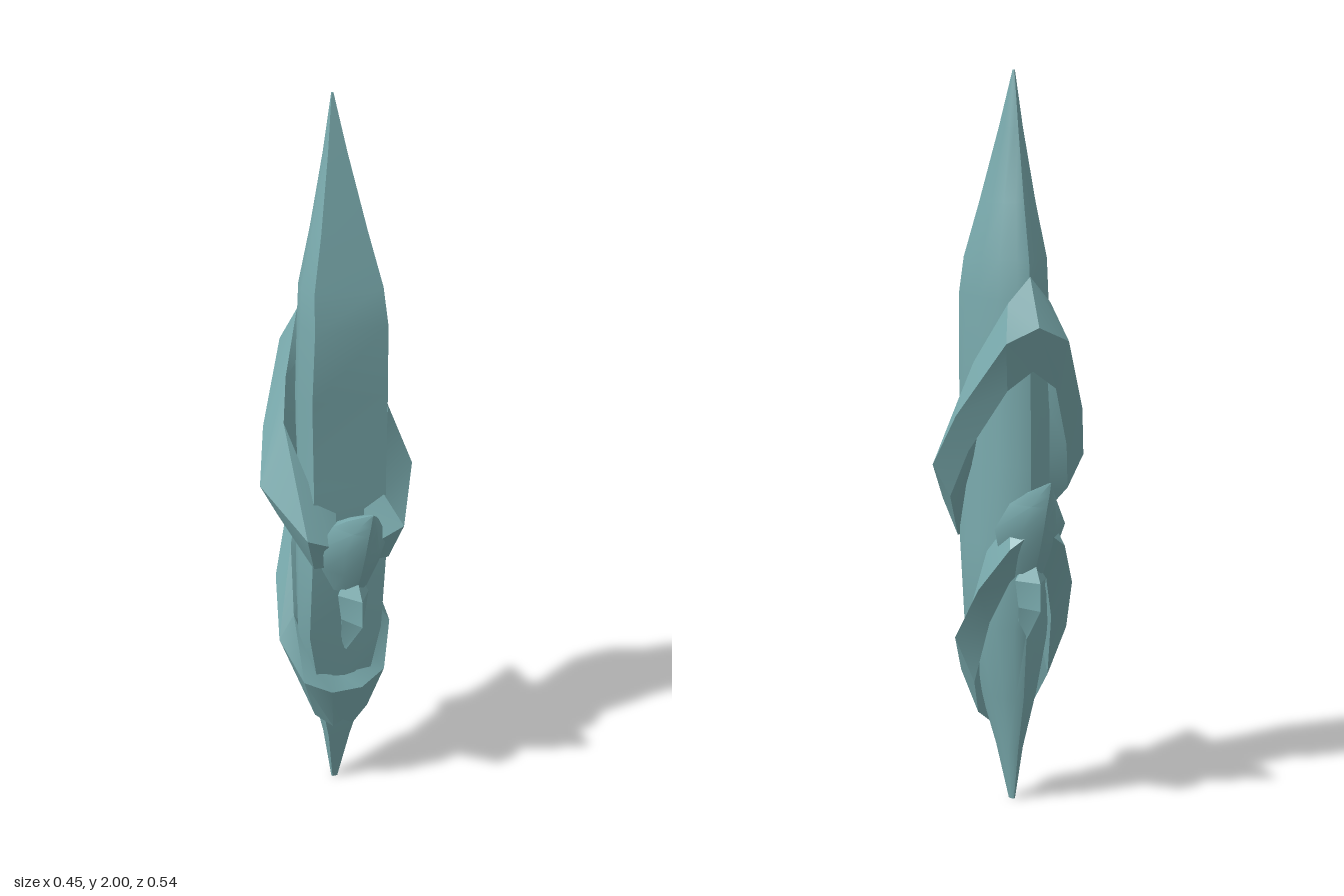
import * as THREE from 'three';
import { toCreasedNormals } from 'three/addons/utils/BufferGeometryUtils.js';

// Skin a list of equal-length closed rings, with end caps
function skin(rings, crease) {
  const n = rings[0].length, index = [], last = (rings.length - 1) * n;
  for (let j = 0; j < rings.length - 1; j++) {
    for (let i = 0; i < n; i++) {
      const a = j * n + i, b = j * n + (i + 1) % n;
      index.push(a, b, b + n, a, b + n, a + n);
    }
  }
  for (let i = 1; i < n - 1; i++) {
    index.push(0, i + 1, i, last, last + i, last + i + 1);
  }
  const geo = new THREE.BufferGeometry();
  geo.setAttribute('position', new THREE.Float32BufferAttribute(rings.flat(2), 3));
  geo.setIndex(index);
  return toCreasedNormals(geo, crease);
}

// Symmetric upright loft: half = [x, depth] from front to back, rows = [y, halfWidth, zFront, zBack]
function loft(half, rows, crease) {
  const mirrored = half.slice(1, -1).reverse().map(([x, t]) => [-x, t]);
  const start = half[0][0] > 0 ? [[-half[0][0], half[0][1]]] : [];
  const outline = [...half, ...mirrored, ...start];
  return skin(rows.map(([y, w, f, b]) => outline.map(([x, t]) => [x * w, y, f + (b - f) * t])), crease);
}

// Mirrored wrap-around band: stations = [x, y, z, rise, drop] of its ridge, from back centre to front
function band(stations, topScale, bottomScale) {
  const other = stations.slice(1).reverse().map(([x, ...rest]) => [-x, ...rest]);
  const rings = [...other, ...stations].map(([x, y, z, up, down]) => [
    [x, y, z],
    [x * topScale, y + up, z * topScale],
    [x * 0.5, y, z * 0.5],
    [x * bottomScale, y - down, z * bottomScale],
  ]);
  return skin(rings, 0.5);
}

export function createModel() {
  const model = new THREE.Group();
  const teal = new THREE.MeshStandardMaterial({ color: 0x7aabae });
  teal.name = 'dusty teal';
  const add = (name, geo, turn = 0) => {
    const mesh = new THREE.Mesh(geo, teal);
    mesh.name = name;
    mesh.rotation.y = turn;
    model.add(mesh);
  };

  // Long pointed core with a flat front and a keeled back
  add('core', loft(
    [[0.9, 0], [1, 0.3], [0.88, 0.55], [0.62, 0.78], [0.28, 0.95], [0, 1]],
    [
      [0, 0.008, 0, -0.02], [0.15, 0.035, 0.033, -0.05], [0.3, 0.075, 0.06, -0.088],
      [0.5, 0.118, 0.08, -0.11], [0.73, 0.12, 0.108, -0.135], [0.95, 0.116, 0.11, -0.137],
      [1.2, 0.12, 0.11, -0.132], [1.4, 0.115, 0.12, -0.132], [1.5, 0.108, 0.1, -0.122],
      [1.65, 0.072, 0.067, -0.088], [1.85, 0.03, 0.02, -0.048], [2, 0.003, -0.016, -0.022],
    ], 0.6));

  // Bands sloping down from the back to the front
  add('upperBand', band([
    [0, 1.33, -0.19, 0.13, 0.12], [0.09, 1.29, -0.18, 0.1, 0.13], [0.185, 1.09, -0.06, 0.14, 0.1],
    [0.223, 0.95, 0.015, 0.17, 0.09], [0.14, 0.83, 0.155, 0.09, 0.1], [0.06, 0.8, 0.16, 0.08, 0.07],
  ], 0.68, 0.78));
  add('lowerBand', band([
    [0, 0.8, -0.2, 0.06, 0.11], [0.08, 0.74, -0.18, 0.07, 0.1], [0.138, 0.62, -0.1, 0.1, 0.1],
    [0.166, 0.47, 0, 0.07, 0.13], [0.12, 0.36, 0.072, 0.05, 0.12], [0.045, 0.325, 0.092, 0.04, 0.125],
    [0, 0.325, 0.092, 0.035, 0.11],
  ], 0.74, 0.66));

  // Leaf-shaped horn and small gem, on the front and the back
  const horn = loft(
    [[0, 0], [0.5, 0.22], [1, 0.75], [0.6, 1], [0, 1]],
    [
      [0.655, 0.05, 0.155, 0.1], [0.72, 0.083, 0.19, 0.09], [0.79, 0.103, 0.22, 0.1],
      [0.86, 0.068, 0.245, 0.12], [0.89, 0.042, 0.257, 0.17], [0.93, 0.003, 0.27, 0.264],
    ], 0.7);
  const gem = loft(
    [[0, 0], [1, 0.5], [0, 1]],
    [
      [0.45, 0.004, 0.085, 0.05], [0.57, 0.034, 0.202, 0.06],
      [0.645, 0.045, 0.2, 0.07], [0.72, 0.006, 0.15, 0.08],
    ], 0.3);
  add('frontHorn', horn);
  add('backHorn', horn, Math.PI);
  add('frontGem', gem);
  add('backGem', gem, Math.PI);
  return model;
}
